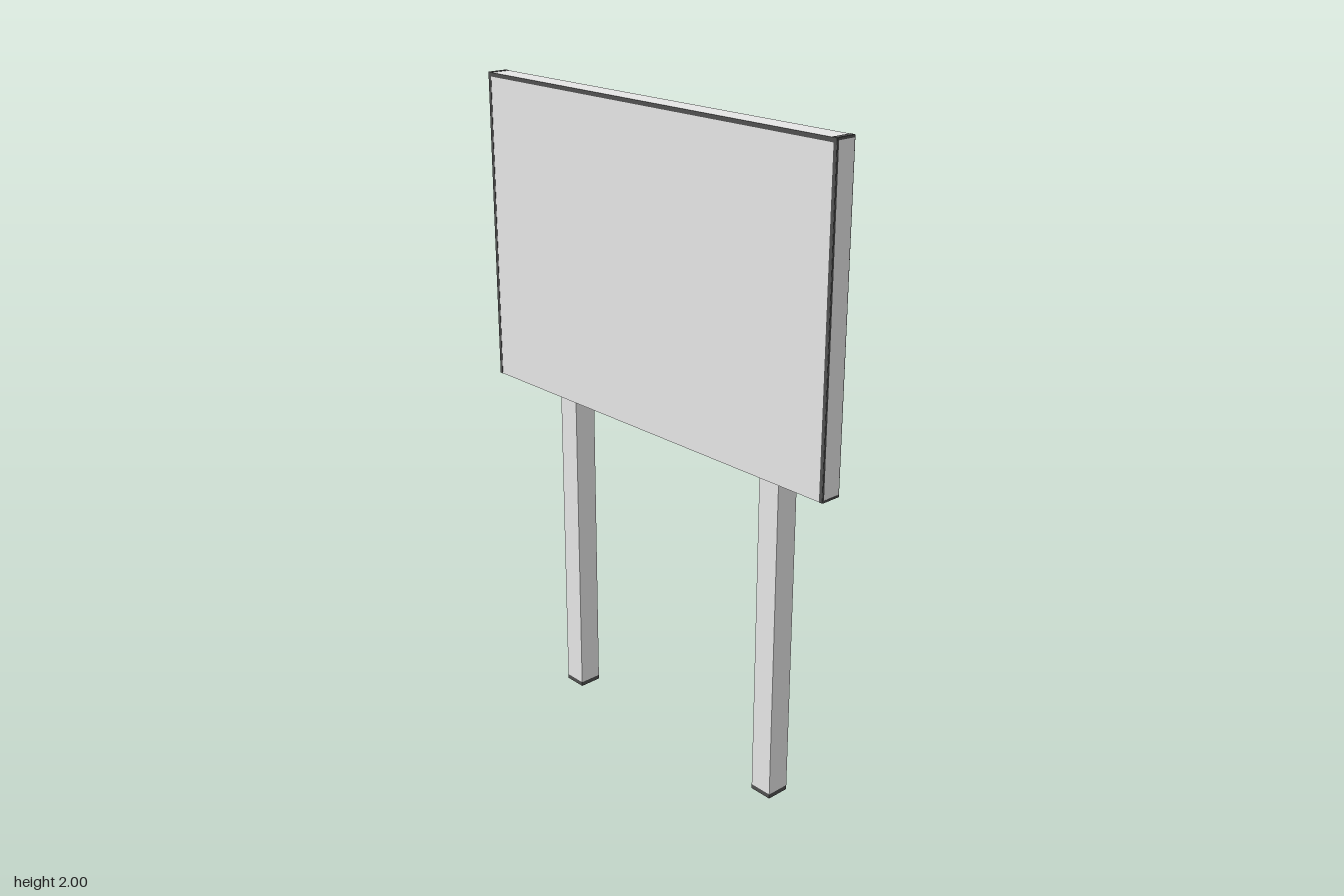
import * as THREE from 'three';

export function createModel() {
  const grey = new THREE.MeshStandardMaterial({ color: 0xe5e5e5 });
  grey.name = 'light grey';
  const dark = new THREE.MeshStandardMaterial({ color: 0x505050 });
  dark.name = 'dark grey';

  const model = new THREE.Group();
  model.name = 'signboard';

  // Box given by its size and centre
  const addBlock = (name, size, centre, material) => {
    const mesh = new THREE.Mesh(new THREE.BoxGeometry(...size), material);
    mesh.name = name;
    mesh.position.set(...centre);
    model.add(mesh);
  };

  // Board in front of the posts
  const W = 1.388, H = 0.947, D = 0.063, Y = 1.5255, Z = 0.039;
  const T = 0.002; // thickness of the painted edging, half sunk into the surface
  const top = Y + H / 2, bottom = Y - H / 2;
  addBlock('board', [W, H, D], [0, Y, Z], grey);

  // Dark edging on the front and back of the board: top and both sides
  for (const [face, s, width] of [['front', 1, 0.011], ['back', -1, 0.007]]) {
    const z = Z + s * D / 2;
    addBlock(`${face}TopEdging`, [W, 0.012, T], [0, top - 0.006, z], dark);
    for (const x of [-1, 1]) {
      addBlock(`${face}SideEdging`, [width, H, T], [x * (W - width) / 2, Y, z], dark);
    }
  }

  // Dark edging on the ends of the board and the ends of its top face
  for (const s of [-1, 1]) {
    const x = s * W / 2;
    addBlock('topEndEdging', [0.016, T, D], [x - s * 0.008, top, Z], dark);
    addBlock('endFrontEdging', [T, H, 0.005], [x, Y, Z + D / 2 - 0.0025], dark);
    addBlock('endTopEdging', [T, 0.006, D], [x, top - 0.003, Z], dark);
    addBlock('endBottomEdging', [T, 0.006, D], [x, bottom + 0.003, Z], dark);
  }

  // Pair of square posts with a dark band round the foot
  const P = 0.073, postTop = 1.805, band = 0.014, postZ = -0.0345;
  for (const [side, s] of [['left', 1], ['right', -1]]) {
    const x = s * 0.436;
    addBlock(`${side}Post`, [P, postTop - band, P], [x, (postTop + band) / 2, postZ], grey);
    addBlock(`${side}PostFoot`, [P, band, P], [x, band / 2, postZ],
      [dark, dark, dark, grey, dark, dark]);
    // Dark edging on the post top: outer and back edges
    addBlock(`${side}PostOuterEdging`, [0.006, T, P], [x + s * (P / 2 - 0.003), postTop, postZ], dark);
    addBlock(`${side}PostBackEdging`, [P, T, 0.006], [x, postTop, postZ - P / 2 + 0.003], dark);
  }

  return model;
}
